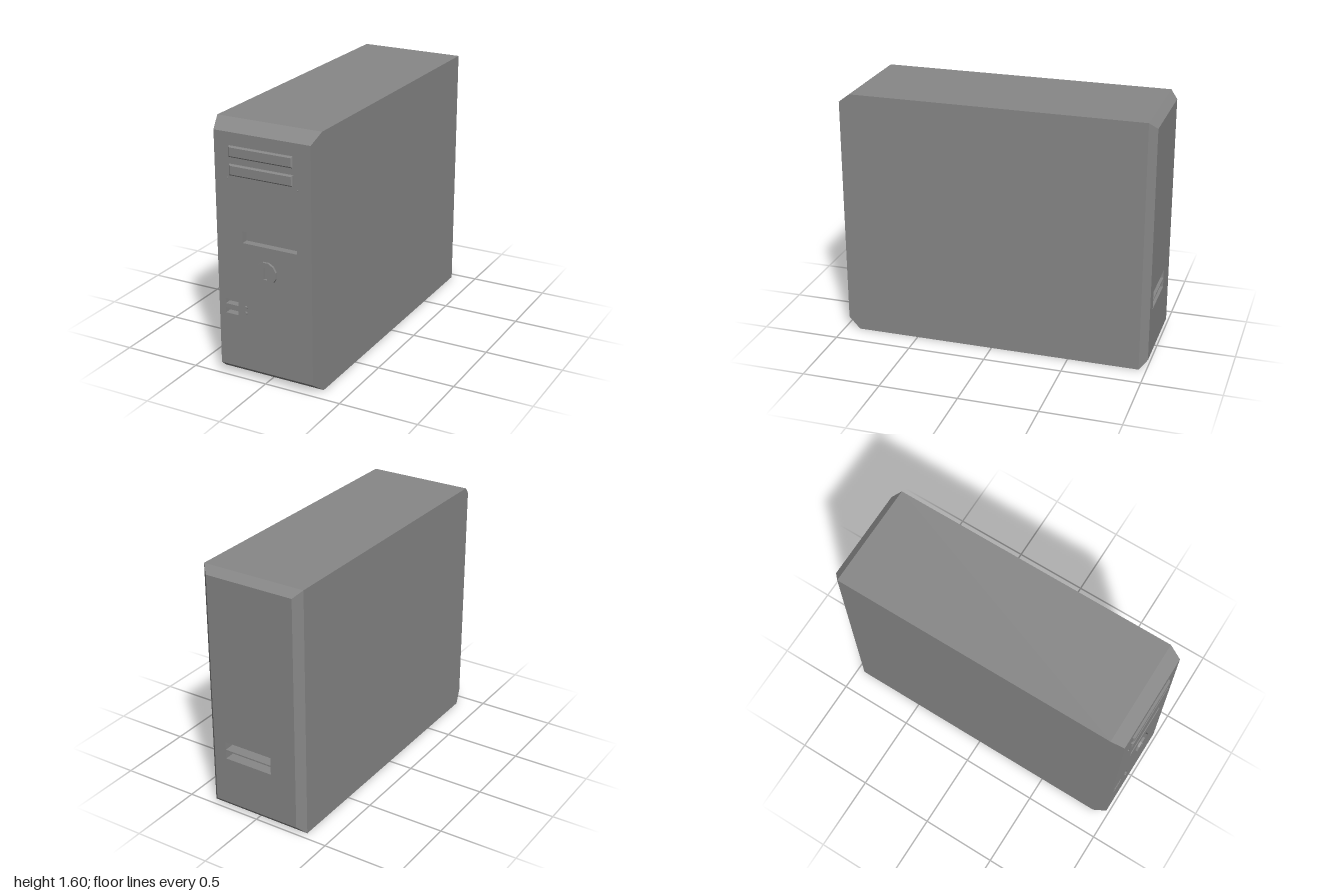
import * as THREE from 'three';

const FRONT = 0.985, BACK = -1;
const material = new THREE.MeshStandardMaterial({ color: 0x878787 });

function add(parent, name, geometry, x = 0, y = 0, z = 0) {
  const mesh = new THREE.Mesh(geometry, material);
  mesh.name = name;
  mesh.position.set(x, y, z);
  parent.add(mesh);
  return mesh;
}

// Rectangular sections [z, x0, x1, y0, y1], ordered from back to front
function loft(sections, capFront = false) {
  const rings = sections.map(([z, x0, x1, y0, y1]) =>
    [[x0, y0, z], [x1, y0, z], [x1, y1, z], [x0, y1, z]]);
  const pos = [];
  const quad = (a, b, c, d) => pos.push(...a, ...b, ...c, ...a, ...c, ...d);
  for (let i = 0; i < rings.length - 1; i++) {
    for (let j = 0; j < 4; j++) {
      const k = (j + 1) % 4;
      quad(rings[i][j], rings[i][k], rings[i + 1][k], rings[i + 1][j]);
    }
  }
  if (capFront) quad(...rings[rings.length - 1]);
  const g = new THREE.BufferGeometry();
  g.setAttribute('position', new THREE.Float32BufferAttribute(pos, 3));
  g.computeVertexNormals();
  // Shallow side slopes shade as one surface with the flat sides
  const n = g.attributes.normal;
  for (let i = 0; i < n.count; i++) {
    if (Math.abs(n.getX(i)) > 0.9) n.setXYZ(i, Math.sign(n.getX(i)), 0, 0);
  }
  return g;
}

function rectPath(PathType, [x0, x1, y0, y1]) {
  return new PathType([[x0, y0], [x1, y0], [x1, y1], [x0, y1]].map(p => new THREE.Vector2(...p)));
}

// Flat panel with rectangular openings
function panel(rect, openings) {
  const shape = rectPath(THREE.Shape, rect);
  shape.holes = openings.map(o => rectPath(THREE.Path, o));
  return new THREE.ShapeGeometry(shape);
}

// Inward-facing box, open on its +z (front) or -z (back) side
function pocket([x0, x1, y0, y1], depth, openFront) {
  const box = new THREE.BoxGeometry(x1 - x0, y1 - y0, depth);
  const index = Array.from(box.index.array);
  index.splice(openFront ? 24 : 30, 6);
  box.setIndex(index.reverse());
  const g = box.toNonIndexed();
  g.computeVertexNormals();
  const z = openFront ? FRONT - depth / 2 : BACK + depth / 2;
  return g.translate((x0 + x1) / 2, (y0 + y1) / 2, z);
}

export function createModel() {
  const model = new THREE.Group();
  model.name = 'computerTower';

  // Case shell with chamfered front and back rims
  const frontRect = [-0.316, 0.316, 0.063, 1.538];
  const backRect = [-0.295, 0.295, 0.05, 1.555];
  add(model, 'caseShell', loft([
    [BACK, ...backRect],
    [-0.953, -0.342, 0.342, 0, 1.6],
    [0.902, -0.342, 0.342, 0, 1.6],
    [FRONT, ...frontRect],
  ]));

  // Front panel with recessed disk slot and two ports
  const frontOpenings = {
    diskSlot: [-0.143, 0.221, 0.875, 0.948],
    upperPort: [-0.273, -0.185, 0.464, 0.498],
    lowerPort: [-0.273, -0.185, 0.404, 0.438],
  };
  add(model, 'frontPanel', panel(frontRect, Object.values(frontOpenings)), 0, 0, FRONT);
  for (const [name, rect] of Object.entries(frontOpenings)) {
    add(model, name, pocket(rect, 0.045, true));
  }

  // Back panel with two deep slots
  const backOpenings = {
    upperBackSlot: [-0.119, 0.211, 0.424, 0.477],
    lowerBackSlot: [-0.119, 0.211, 0.362, 0.415],
  };
  const mirrored = Object.values(backOpenings).map(([x0, x1, y0, y1]) => [-x1, -x0, y0, y1]);
  add(model, 'backPanel', panel(backRect, mirrored), 0, 0, BACK).rotation.y = Math.PI;
  for (const [name, rect] of Object.entries(backOpenings)) {
    add(model, name, pocket(rect, 0.12, false));
  }

  // Drive bay covers with bevelled edges
  for (const y of [1.282, 1.392]) {
    const x0 = -0.214, x1 = 0.204, y1 = y + 0.068, b = 0.008;
    add(model, 'driveBayCover', loft([
      [FRONT, x0, x1, y, y1],
      [0.993, x0, x1, y, y1],
      [1, x0 + b, x1 - b, y + b, y1 - b],
    ], true));
  }

  // Twelve-sided power button with a slot through it
  const disc = new THREE.Shape();
  for (let i = 0; i < 12; i++) {
    const a = (i + 0.5) * Math.PI / 6;
    disc[i ? 'lineTo' : 'moveTo'](0.071 * Math.cos(a), 0.071 * Math.sin(a));
  }
  disc.closePath();
  disc.holes.push(rectPath(THREE.Path, [-0.012, 0.012, -0.038, 0.037]));
  add(model, 'powerButton', new THREE.ExtrudeGeometry(disc, { depth: 0.015, bevelEnabled: false }),
    0.016, 0.718, FRONT);

  // Indicator lights and small studs beside the bays
  const stud = (name, r, h, x, y) => add(model, name,
    new THREE.CylinderGeometry(r, r, h, 8).rotateX(Math.PI / 2), x, y, FRONT + h / 2);
  for (const y of [0.43, 0.467]) stud('indicatorLight', 0.011, 0.01, -0.132, y);
  for (const x of [-0.232, 0.229]) stud('bayStud', 0.006, 0.006, x, 1.262);

  return model;
}
